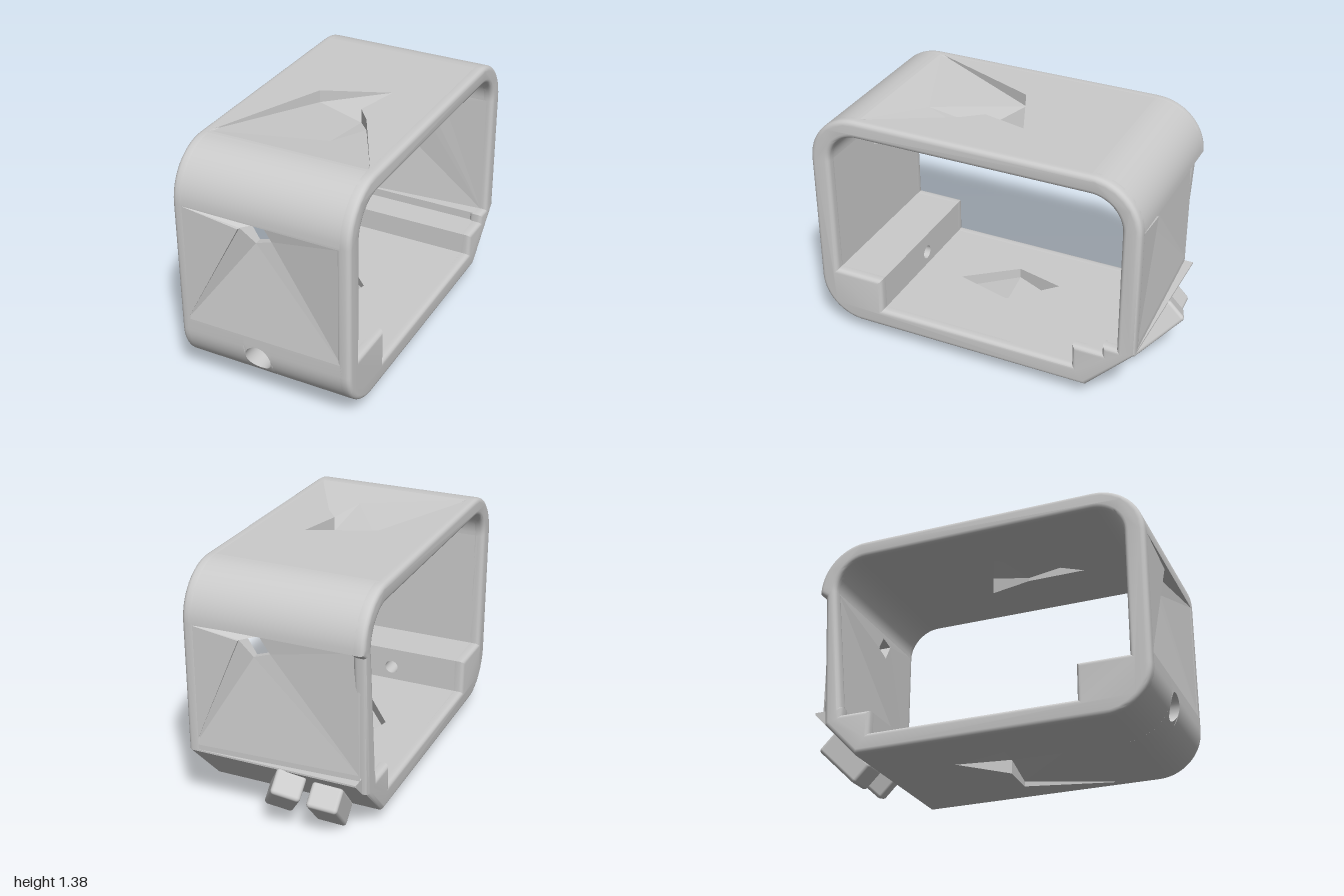
import * as THREE from 'three';
import { toCreasedNormals } from 'three/addons/utils/BufferGeometryUtils.js';
import { RoundedBoxGeometry } from 'three/addons/geometries/RoundedBoxGeometry.js';

const grey = new THREE.MeshStandardMaterial({ color: 0xcccccc });
const thin = new THREE.MeshStandardMaterial({ color: 0xcccccc, side: THREE.DoubleSide });

function add(parent, name, geometry, material = grey) {
  const mesh = new THREE.Mesh(geometry, material);
  mesh.name = name;
  parent.add(mesh);
  return mesh;
}

// Points of an arc in the (z, y) plane, angles in degrees
function arc(cz, cy, r, a0, a1, n = 14) {
  return Array.from({ length: n + 1 }, (_, i) => {
    const a = THREE.MathUtils.degToRad(a0 + (a1 - a0) * i / n);
    return [cz + r * Math.cos(a), cy + r * Math.sin(a)];
  });
}

const vectors = (pts) => pts.map(([a, b]) => new THREE.Vector2(a, b));

// Extrudes a (z, y) profile along x, from x0 to x1
function alongX(pts, x0, x1, hole, bevel = 0) {
  const shape = new THREE.Shape(vectors(pts));
  if (hole) shape.holes.push(new THREE.Path(vectors(hole)));
  const geo = new THREE.ExtrudeGeometry(shape, {
    depth: x1 - x0 - 2 * bevel, bevelEnabled: bevel > 0, bevelThickness: bevel,
    bevelSize: bevel, bevelOffset: -bevel, bevelSegments: 4,
  });
  geo.rotateY(-Math.PI / 2).translate(x1 - bevel, 0, 0);
  return toCreasedNormals(geo, 0.6);
}

// Flat wall, outer face at local z = 0: the outer skin is cut and filled by sunken
// facets, the inner skin has the hole. pts are [u, v, depth]; cut, hole and facets
// hold indices into them. tilt sinks the outer and flare thickens the inner skin to +u.
function wall(name, v0, v1, thickness, pts, cut, hole, facets, tilt = 0, flare = 0) {
  const group = new THREE.Group();
  group.name = name;
  const w = 0.46;
  const outerZ = (u) => -tilt * (u + w) / (2 * w);
  const innerZ = (u, v) => -thickness - flare * (u + w) / (2 * w) * (v1 - v) / (v1 - v0);
  const skin = (opening, height) => {
    const shape = new THREE.Shape(vectors([[-w, v0], [w, v0], [w, v1], [-w, v1]]));
    shape.holes.push(new THREE.Path(vectors(opening.map((i) => pts[i]))));
    const geo = new THREE.ShapeGeometry(shape).toNonIndexed();
    const p = geo.attributes.position;
    for (let i = 0; i < p.count; i++) p.setZ(i, height(p.getX(i), p.getY(i)));
    geo.computeVertexNormals();
    return geo;
  };
  add(group, name + 'OuterSkin', skin(cut, outerZ), thin);
  add(group, name + 'InnerSkin', skin(hole, innerZ), thin);

  // Sunken facets, and the steep sides around the cut and the hole
  const at = (i, z) => [pts[i][0], pts[i][1], z];
  const outerAt = (i) => at(i, outerZ(pts[i][0]));
  const sunkAt = (i) => at(i, outerZ(pts[i][0]) - pts[i][2]);
  const innerAt = (i) => at(i, innerZ(pts[i][0], pts[i][1]));
  const sides = (loop, from, to) => loop.flatMap((a, k) => {
    const b = loop[(k + 1) % loop.length];
    return [from(a), to(a), to(b), from(a), to(b), from(b)];
  });
  const verts = [...facets.flat().map(sunkAt), ...sides(cut, outerAt, sunkAt), ...sides(hole, sunkAt, innerAt)];
  const dent = new THREE.BufferGeometry();
  dent.setAttribute('position', new THREE.Float32BufferAttribute(verts.flat(), 3));
  dent.computeVertexNormals();
  add(group, name + 'Dent', dent, thin);
  return group;
}

export function createModel() {
  const model = new THREE.Group();
  model.name = 'bracketFrame';

  // Profile pieces in (z, y)
  const outFront = arc(0.72, 1.1, 0.28, 0, 90), outBack = arc(-0.62, 1.1, 0.28, 90, 180);
  const inFront = arc(0.71, 1.1, 0.18, 0, 90), inBack = arc(-0.62, 1.1, 0.18, 90, 180);
  const lowFront = arc(0.75, 0.34, 0.25, -90, 0);
  const chamfer = [[-0.9, 0.37], [-0.63, 0.09]];
  const outer = [...lowFront, ...outFront, ...outBack];
  const inner = (wedge) => [...inFront, ...inBack, [-wedge, 0.38], [-0.72, 0.38], [-0.72, 0.33],
    [-0.55, 0.33], [-0.55, 0.2], [0.61, 0.2], [0.61, 0.4], [0.89, 0.4]];

  // Rounded rims on both open sides; the right one is cut back behind
  add(model, 'leftRim', alongX([...outer, ...chamfer], 0.42, 0.5, inner(0.8), 0.025));
  add(model, 'rightRim', alongX([...outer, [-0.86, 1.07], [-0.82, 0.287], chamfer[1]],
    -0.5, -0.42, inner(0.73), 0.025));

  // Corners between the rims
  add(model, 'topFrontCorner', alongX([...outFront, ...[...inFront].reverse()], -0.46, 0.46));
  add(model, 'topBackCorner', alongX([...outBack, ...[...inBack].reverse()], -0.46, 0.46));
  add(model, 'backBlock', alongX([...chamfer, [-0.55, 0.09], [-0.55, 0.33], [-0.73, 0.33],
    [-0.73, 0.38], [-0.9, 0.38]], -0.46, 0.46));

  // Front block in two halves, with a bored piece between them
  const block = [[0.61, 0.09], ...lowFront, [1, 0.4], [0.61, 0.4]];
  add(model, 'frontBlockRight', alongX(block, -0.46, -0.12));
  add(model, 'frontBlockLeft', alongX(block, 0.04, 0.46));
  add(model, 'frontBlockBase', alongX([[0.61, 0.09], ...arc(0.75, 0.34, 0.25, -90, -34.06),
    [0.61, 0.2]], -0.12, 0.04));
  add(model, 'frontBlockCap', alongX([[0.61, 0.36], [1, 0.36], [1, 0.4], [0.61, 0.4]], -0.12, 0.04));
  const steps = [0.2, 0.22, 0.24, 0.26, 0.28, 0.3, 0.32, 0.34, 0.36];
  const boreShape = new THREE.Shape(vectors([...steps.map((y) => [0.04, y]),
    ...[...steps].reverse().map((y) => [-0.12, y])]));
  boreShape.holes.push(new THREE.Path().absarc(-0.04, 0.28, 0.075, 0, Math.PI * 2, true));
  const bore = new THREE.ExtrudeGeometry(boreShape, { depth: 0.39, bevelEnabled: false, curveSegments: 16 });
  bore.translate(0, 0, 0.61);
  const bp = bore.attributes.position;
  for (let i = 0; i < bp.count; i++) {
    const drop = Math.min(0, bp.getY(i) - 0.34);
    if (bp.getZ(i) > 0.8) bp.setZ(i, 0.75 + Math.sqrt(0.0625 - drop * drop));
  }
  bore.computeVertexNormals();
  add(model, 'screwBore', toCreasedNormals(bore, 0.6));
  for (const z of [0.61, 0.8]) {
    add(model, 'screwSeat', new THREE.RingGeometry(0.04, 0.076, 28), thin).position.set(-0.04, 0.28, z);
  }
  const sleeve = new THREE.CylinderGeometry(0.04, 0.04, 0.19, 28, 1, true).rotateX(Math.PI / 2);
  add(model, 'screwSleeve', sleeve, thin).position.set(-0.04, 0.28, 0.705);

  // Front and back walls: facets sloping in from the corners to a hole near the top
  const creased = (shift, d) => [[-0.455, 1.095, 0], [0.45, 1.09, 0], [-0.03 + shift, 1.07, d],
    [-0.12 + shift, 1.05, d / 4], [0.03 + shift, 0.98, d], [-0.06 + shift, 0.95, d],
    [-0.455, 0.41, 0], [0.455, 0.41, 0]];
  const creaseCut = [0, 3, 6, 7, 1], creaseHole = [3, 5, 4, 2];
  const creaseFacets = [[0, 3, 2], [0, 2, 1], [2, 4, 1], [1, 4, 7], [4, 5, 7], [5, 6, 7], [6, 5, 3]];
  const front = wall('frontWall', 0.4, 1.1, 0.11, creased(0, 0.07), creaseCut, creaseHole, creaseFacets);
  front.position.z = 1;
  const back = wall('backWall', 0.38, 1.1, 0.1, creased(-0.07, 0.05), creaseCut, creaseHole,
    creaseFacets, 0.05, 0.07);
  back.rotation.y = Math.PI;
  back.position.z = -0.9;

  // Top and bottom walls: wide broken-in dent with sunken facets
  const topBreak = [[-0.455, -0.7, 0], [-0.18, -0.03, 0.07], [0.18, 0.12, 0], [0.12, -0.13, 0.08],
    [0.2, -0.23, 0.06], [0.455, -0.7, 0], [0.12, -0.47, 0.03]];
  const bottomBreak = [[-0.455, 0.59, 0], [-0.22, 0.08, 0.05], [-0.15, -0.2, 0], [0.09, 0.03, 0.08],
    [0.31, 0.02, 0.03], [0.455, 0.59, 0], [0, 0.36, 0.04]];
  const breakCut = [0, 1, 2, 3, 4, 5], breakHole = [1, 2, 3, 6];
  const breakFacets = [[0, 1, 6], [1, 2, 3], [1, 3, 6], [3, 4, 6], [4, 5, 6], [5, 0, 6]];
  const top = wall('topWall', -0.72, 0.62, 0.1, topBreak, breakCut, breakHole, breakFacets);
  top.rotation.x = -Math.PI / 2;
  top.position.y = 1.38;
  const bottom = wall('bottomWall', -0.55, 0.61, 0.11, bottomBreak, breakCut, breakHole, breakFacets);
  bottom.rotation.x = Math.PI / 2;
  bottom.position.y = 0.09;
  model.add(front, back, top, bottom);

  // Two skewed clips on the sloping back edge
  for (const [x, y, z, width, length, tilt] of [
    [-0.02, 0.199, -0.814, 0.16, 0.375, 0.45], [-0.26, 0.155, -0.78, 0.17, 0.3, 0.12]]) {
    const clip = new THREE.Group();
    clip.name = 'clip';
    clip.position.set(x, y, z);
    clip.rotation.x = -Math.PI / 4;
    add(clip, 'clipBody', new RoundedBoxGeometry(width, length, 0.14, 3, 0.02)).rotation.z = tilt;
    model.add(clip);
  }
  return model;
}
